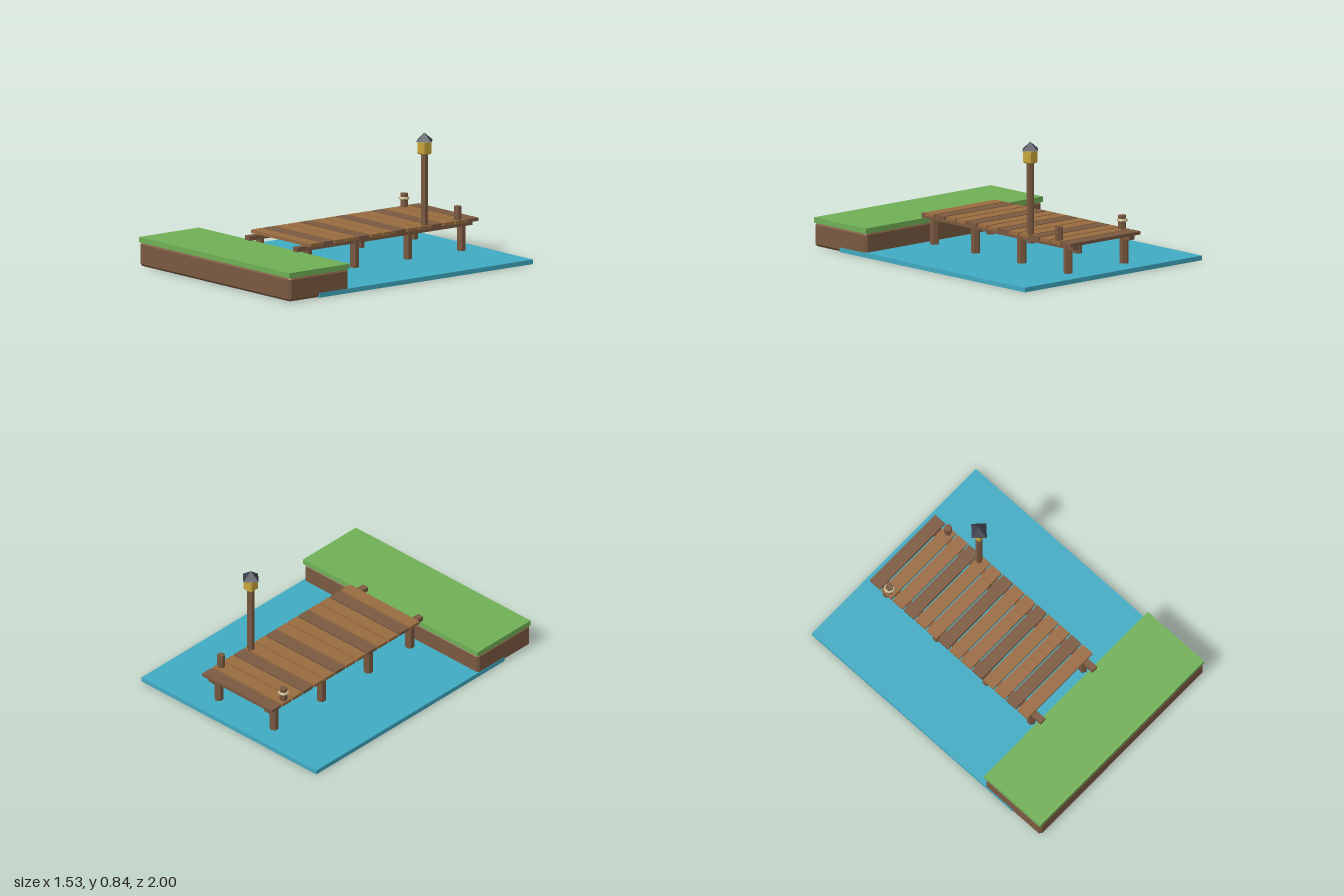
import * as THREE from 'three';
import { ConvexGeometry } from 'three/addons/geometries/ConvexGeometry.js';

const mat = (name, color) => {
  const m = new THREE.MeshStandardMaterial({ color });
  m.name = name;
  return m;
};

// Box with every edge cut at 45 degrees
function chamferBox(w, h, d, c) {
  const pts = [];
  for (const x of [-1, 1]) for (const y of [-1, 1]) for (const z of [-1, 1]) {
    const [a, b, e] = [w / 2, h / 2, d / 2];
    pts.push(
      new THREE.Vector3(x * a, y * (b - c), z * (e - c)),
      new THREE.Vector3(x * (a - c), y * b, z * (e - c)),
      new THREE.Vector3(x * (a - c), y * (b - c), z * e));
  }
  return new ConvexGeometry(pts);
}

export function createModel() {
  const group = new THREE.Group();
  group.name = 'lakeDock';
  const water = mat('water', 0x40aac2);
  const grass = mat('grass', 0x70b055);
  const darkWood = mat('darkWood', 0x7a5940);
  const lightWood = mat('lightWood', 0x986b40);
  const gold = mat('lanternGlass', 0xc9a63a);
  const slate = mat('slateRoof', 0x3a404c);
  const rope = mat('rope', 0xc8b88e);

  const add = (name, geo, material, x, y, z) => {
    const mesh = new THREE.Mesh(geo, material);
    mesh.name = name;
    mesh.position.set(x, y, z);
    group.add(mesh);
    return mesh;
  };
  const box = (name, material, w, d, y0, y1, x, z) =>
    add(name, new THREE.BoxGeometry(w, y1 - y0, d), material, x, (y0 + y1) / 2, z);
  // Six-sided upright log with flat faces
  const log = (name, r, y0, y1, x, z) =>
    add(name, new THREE.CylinderGeometry(r, r, y1 - y0, 6).toNonIndexed(), darkWood, x, (y0 + y1) / 2, z)
      .geometry.computeVertexNormals();

  // Water sheet and shore bank
  box('water', water, 1.534, 1.757, 0, 0.03, 0, -0.1215);
  add('bank', chamferBox(1.53, 0.156, 0.488, 0.015), darkWood, 0, 0.08, 0.756);
  box('grass', grass, 1.532, 0.493, 0.155, 0.19, 0, 0.7535);

  // Beams and their posts on both sides
  for (const x of [-0.242, 0.242]) {
    box('beam', darkWood, 0.045, 1.44, 0.19, 0.22, x, -0.188);
    for (const z of [0.43, 0.043, -0.395, -0.835]) log('post', 0.03, 0.002, 0.219, x, z);
  }

  // Deck planks, every third one darker
  for (let i = 0; i < 14; i++) {
    box('plank', i % 3 ? lightWood : darkWood, 0.61, 0.087, 0.22, 0.241, 0, -0.881 + i * 0.0993);
  }

  // Mooring posts, one with a rope ring
  for (const x of [-0.273, 0.273]) log('mooringPost', 0.026, 0.221, 0.33, x, -0.782);
  const ring = new THREE.TorusGeometry(0.0265, 0.0105, 6, 8).toNonIndexed();
  ring.rotateX(Math.PI / 2);
  ring.computeVertexNormals();
  add('ropeRing', ring, rope, -0.275, 0.298, -0.782);

  // Lamp
  const [lx, lz] = [0.271, -0.508];
  log('lampPost', 0.0235, 0.221, 0.71, lx, lz);
  add('lantern', chamferBox(0.072, 0.087, 0.072, 0.008), gold, lx, 0.746, lz);
  const roof = new THREE.ConeGeometry(0.069, 0.054, 4).toNonIndexed();
  roof.computeVertexNormals();
  add('lampRoof', roof, slate, lx, 0.815, lz);

  return group;
}
